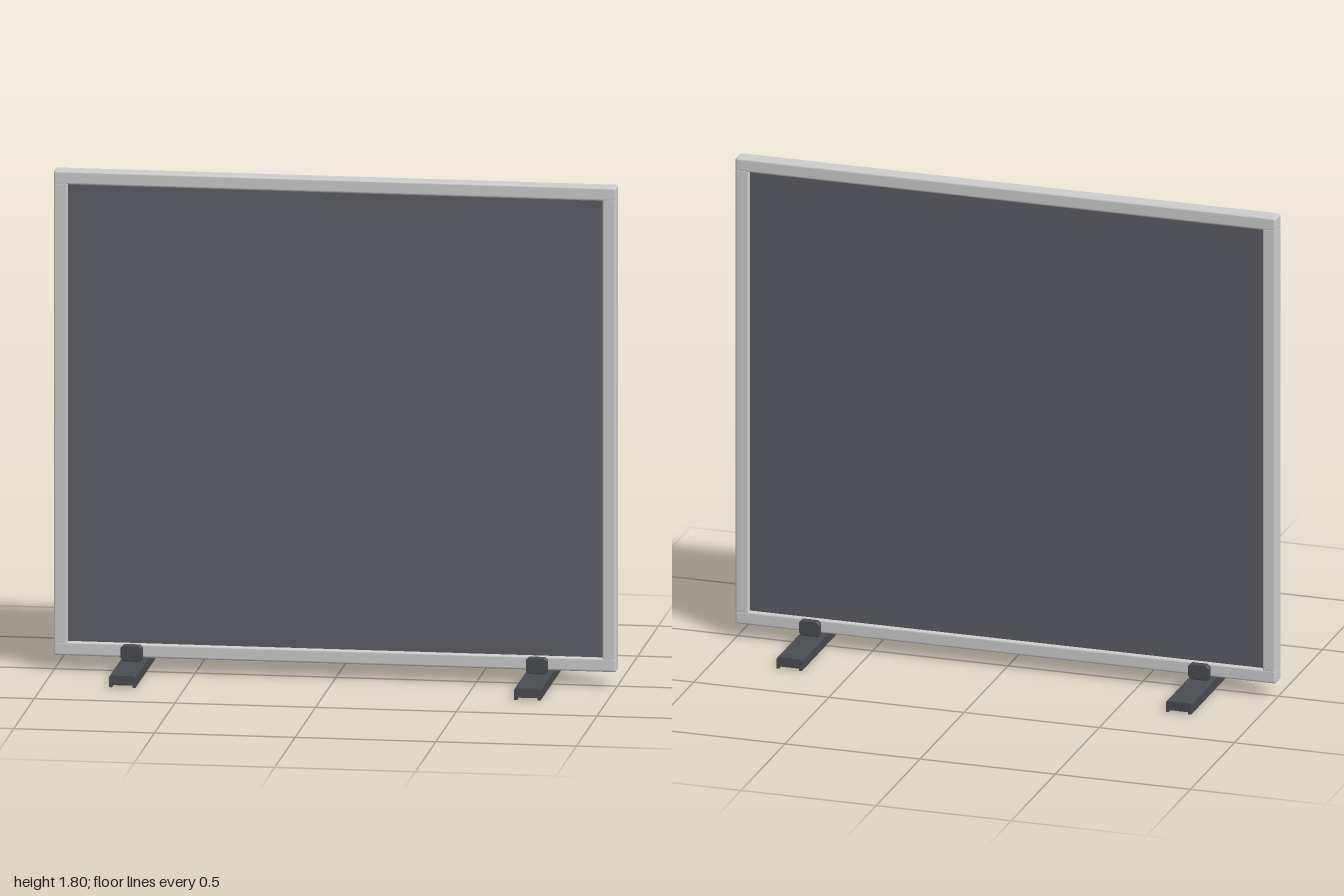
import * as THREE from 'three';
import { RoundedBoxGeometry } from 'three/addons/geometries/RoundedBoxGeometry.js';

const frameMat = new THREE.MeshStandardMaterial({ color: 0xcccccc });
const panelMat = new THREE.MeshStandardMaterial({ color: 0x5a5d64 });
const footMat = new THREE.MeshStandardMaterial({ color: 0x484b50 });

const TOP = 1.8, BOTTOM = 0.055, BAR = 0.05, DEPTH = 0.06;

function add(parent, name, geometry, material, x = 0, y = 0, z = 0) {
  const mesh = new THREE.Mesh(geometry, material);
  mesh.name = name;
  mesh.position.set(x, y, z);
  parent.add(mesh);
  return mesh;
}

// Extrude an outline of [x, y] points along z, centred on z = 0
function prism(points, length, bevel = 0) {
  const shape = new THREE.Shape(points.map(([x, y]) => new THREE.Vector2(x, y)));
  const geometry = new THREE.ExtrudeGeometry(shape, {
    depth: length - 2 * bevel, bevelEnabled: bevel > 0, bevelSize: bevel,
    bevelThickness: bevel, bevelOffset: -bevel, bevelSegments: 3,
  });
  return geometry.translate(0, 0, -length / 2 + bevel);
}

function createFoot() {
  const foot = new THREE.Group();
  foot.name = 'foot';

  // Floor bar with chamfered top edges and a shallow channel underneath
  const bar = [
    [-0.047, 0], [-0.036, 0], [-0.036, 0.008], [0.036, 0.008], [0.036, 0], [0.047, 0],
    [0.047, 0.036], [0.041, 0.042], [-0.041, 0.042], [-0.047, 0.036],
  ];
  add(foot, 'floorBar', prism(bar, 0.55), footMat);

  // Saddle under the bottom rail
  add(foot, 'saddle', new THREE.BoxGeometry(0.06, 0.018, 0.08), footMat, 0, 0.048, 0);

  // Clamp cheeks gripping the rail at front and back
  const cheek = [
    [-0.028, 0.045], [0.028, 0.045], [0.039, 0.056], [0.039, 0.093],
    [0.028, 0.104], [-0.028, 0.104], [-0.039, 0.093], [-0.039, 0.056],
  ];
  const cheekGeometry = prism(cheek, 0.02, 0.004);
  for (const side of [-1, 1]) add(foot, 'clampCheek', cheekGeometry, footMat, 0, 0, side * 0.038);
  return foot;
}

export function createModel() {
  const model = new THREE.Group();
  model.name = 'partitionScreen';

  // Full-width rails at top and bottom
  const rail = new RoundedBoxGeometry(2, BAR, DEPTH, 3, 0.008);
  add(model, 'topRail', rail, frameMat, 0, TOP - BAR / 2);
  add(model, 'bottomRail', rail, frameMat, 0, BOTTOM + BAR / 2);

  // Side posts run between the rails
  const innerHeight = TOP - BOTTOM - 2 * BAR;
  const midY = (TOP + BOTTOM) / 2;
  const post = new RoundedBoxGeometry(BAR, innerHeight + 0.016, DEPTH, 3, 0.008);
  for (const side of [-1, 1]) add(model, 'sidePost', post, frameMat, side * (1 - BAR / 2), midY);

  // Infill panel, recessed in the frame on both faces
  add(model, 'panel', new THREE.BoxGeometry(1.92, innerHeight + 0.02, 0.03), panelMat, 0, midY);

  // Two feet
  for (const side of [-1, 1]) {
    const foot = createFoot();
    foot.position.x = side * 0.72;
    model.add(foot);
  }
  return model;
}
